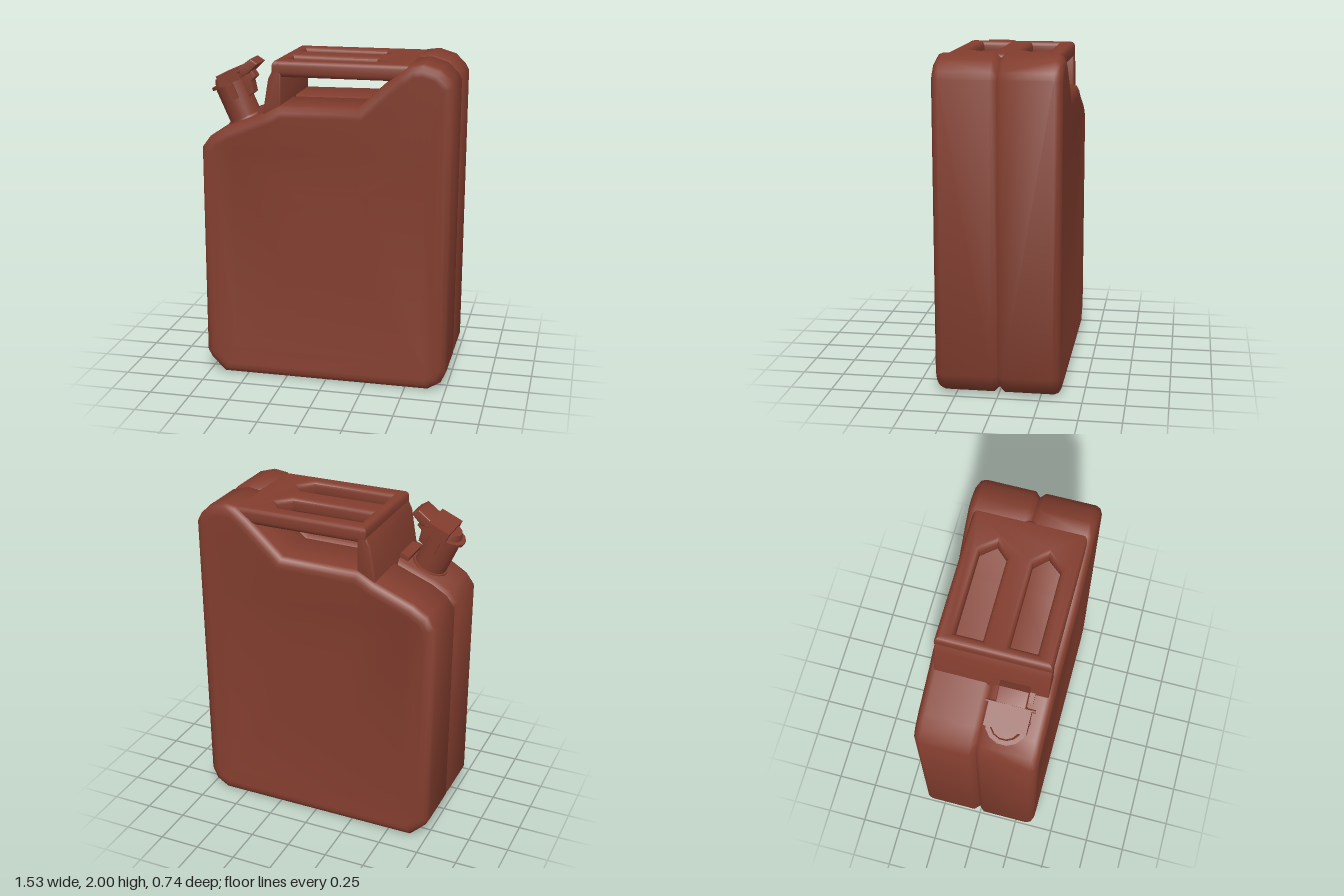
import * as THREE from 'three';
import { toCreasedNormals, mergeVertices } from 'three/addons/utils/BufferGeometryUtils.js';

const paint = new THREE.MeshStandardMaterial({ color: 0x823d2e });
paint.name = 'rust red paint';

// Side outline of the can, counter-clockwise seen from +z
const OUTLINE = [
  [-0.65, 0], [0.64, 0], [0.72, 0.05], [0.755, 0.13], [0.762, 1.87], [0.74, 1.91],
  [0.68, 1.97], [0.58, 2.0], [0.5, 1.99], [0.42, 1.93], [0.2, 1.73], [-0.28, 1.725],
  [-0.38, 1.67], [-0.62, 1.575], [-0.71, 1.52], [-0.762, 1.45], [-0.766, 0.14], [-0.74, 0.09],
].map(([x, y]) => new THREE.Vector2(x, y));

// Mitred inward offset of the outline
function inset(d) {
  const n = OUTLINE.length;
  return OUTLINE.map((p, i) => {
    const a = p.clone().sub(OUTLINE[(i + n - 1) % n]).normalize();
    const b = OUTLINE[(i + 1) % n].clone().sub(p).normalize();
    const na = new THREE.Vector2(-a.y, a.x), nb = new THREE.Vector2(-b.y, b.x);
    const m = na.clone().add(nb).divideScalar(1 + na.dot(nb));
    return p.clone().addScaledVector(m, d);
  });
}

// Outline squeezed into a rectangle, for the pressed panel
function clampTo(x0, x1, y0, y1) {
  return OUTLINE.map((p) => new THREE.Vector2(
    THREE.MathUtils.clamp(p.x, x0, x1), THREE.MathUtils.clamp(p.y, y0, y1)));
}

// One half shell, lofted from the seam to the pressed panel; s is the z direction
function halfShell(s) {
  const rings = [
    [inset(0.03), 0], [inset(0), 0.032], [inset(0), 0.325], [inset(0.012), 0.353],
    [inset(0.04), 0.369], [inset(0.07), 0.37],
    [clampTo(-0.57, 0.6, 0.17, 1.43), 0.345], [clampTo(-0.24, 0.25, 0.72, 1.22), 0.338],
  ];
  const n = OUTLINE.length, pos = [], idx = [];
  rings.forEach(([pts, z]) => pts.forEach((p) => pos.push(p.x, p.y, z * s)));
  pos.push(0, 0.97, 0.338 * s);
  const tri = (a, b, c) => (s > 0 ? idx.push(a, b, c) : idx.push(a, c, b));
  for (let r = 0; r < rings.length; r++) {
    for (let i = 0; i < n; i++) {
      const j = (i + 1) % n, a = r * n + i, b = r * n + j;
      if (r === rings.length - 1) tri(a, b, rings.length * n);
      else { tri(a, b, b + n); tri(a, b + n, a + n); }
    }
  }
  const g = new THREE.BufferGeometry();
  g.setAttribute('position', new THREE.Float32BufferAttribute(pos, 3));
  g.setIndex(idx);
  return toCreasedNormals(mergeVertices(g), 1.0);
}

function shapeOf(points) {
  return new THREE.Shape(points.map(([x, y]) => new THREE.Vector2(x, y)));
}

// Extrusion centred on its depth, bevelled within the outline
function bevelled(shape, depth, bevel) {
  const g = new THREE.ExtrudeGeometry(shape, {
    depth: depth - 2 * bevel, bevelEnabled: true, bevelThickness: bevel,
    bevelSize: bevel, bevelOffset: -bevel, bevelSegments: 3,
  });
  g.translate(0, 0, bevel - depth / 2);
  return toCreasedNormals(g, 0.7);
}

export function createModel() {
  const model = new THREE.Group();
  model.name = 'fuelCan';
  const add = (parent, name, geometry, x = 0, y = 0, z = 0) => {
    const mesh = new THREE.Mesh(geometry, paint);
    mesh.name = name;
    mesh.position.set(x, y, z);
    parent.add(mesh);
    return mesh;
  };

  // Body halves with the seam groove between them
  add(model, 'frontShell', halfShell(1));
  add(model, 'backShell', halfShell(-1));

  // Three carrying bars, left between two pointed slots
  const bars = shapeOf([[-0.32, -0.335], [0.52, -0.335], [0.52, 0.335], [-0.32, 0.335]]);
  for (const s of [1, -1]) {
    bars.holes.push(new THREE.Path([
      [-0.25, 0.075], [-0.25, 0.235], [0.26, 0.235], [0.33, 0.15], [0.26, 0.075],
    ].map(([x, z]) => new THREE.Vector2(x, z * s))));
  }
  add(model, 'handleBars', bevelled(bars, 0.1, 0.03), 0, 1.94, 0).rotation.x = -Math.PI / 2;

  // Leaning plate that carries the spout end of the bars
  const leg = shapeOf([
    [-0.385, 1.64], [-0.27, 1.69], [-0.265, 1.96], [-0.28, 1.98], [-0.305, 1.955], [-0.345, 1.88],
  ]);
  add(model, 'handleLeg', bevelled(leg, 0.67, 0.01));
  add(model, 'legFoot', new THREE.BoxGeometry(0.06, 0.05, 0.2), -0.4, 1.665, 0.16).rotation.z = 0.4;

  // Tilted filler spout
  const spout = new THREE.Group();
  spout.name = 'spout';
  spout.position.set(-0.53, 1.6, 0.16);
  spout.rotation.z = 0.42;
  model.add(spout);
  const disc = (name, r0, r1, h, y) =>
    add(spout, name, toCreasedNormals(new THREE.CylinderGeometry(r1, r0, h, 14), 0.7), 0, y, 0);
  disc('neck', 0.1, 0.1, 0.28, 0.1);
  disc('neckCollar', 0.12, 0.11, 0.04, 0);
  disc('rim', 0.12, 0.12, 0.02, 0.245);
  disc('lid', 0.095, 0.08, 0.04, 0.272);

  // Lid strap, locking lever and hinge
  add(spout, 'lidStrap', new THREE.BoxGeometry(0.14, 0.07, 0.24), 0.04, 0.275, 0);
  const lever = shapeOf([[0.08, 0.25], [0.15, 0.25], [0.23, 0.28], [0.2, 0.325], [0.11, 0.305], [0.08, 0.305]]);
  add(spout, 'lever', bevelled(lever, 0.17, 0.006));
  const hinge = shapeOf([[0.08, 0.12], [0.125, 0.13], [0.14, 0.2], [0.175, 0.215], [0.165, 0.27], [0.08, 0.27]]);
  add(spout, 'hinge', bevelled(hinge, 0.09, 0.006));
  add(spout, 'hingePin', new THREE.CylinderGeometry(0.01, 0.01, 0.28, 8), 0.105, 0.285, 0)
    .rotation.x = Math.PI / 2;
  for (const s of [1, -1]) {
    add(spout, 'strapArm', new THREE.BoxGeometry(0.05, 0.12, 0.016), 0.02, 0.2, 0.105 * s);
  }
  return model;
}
